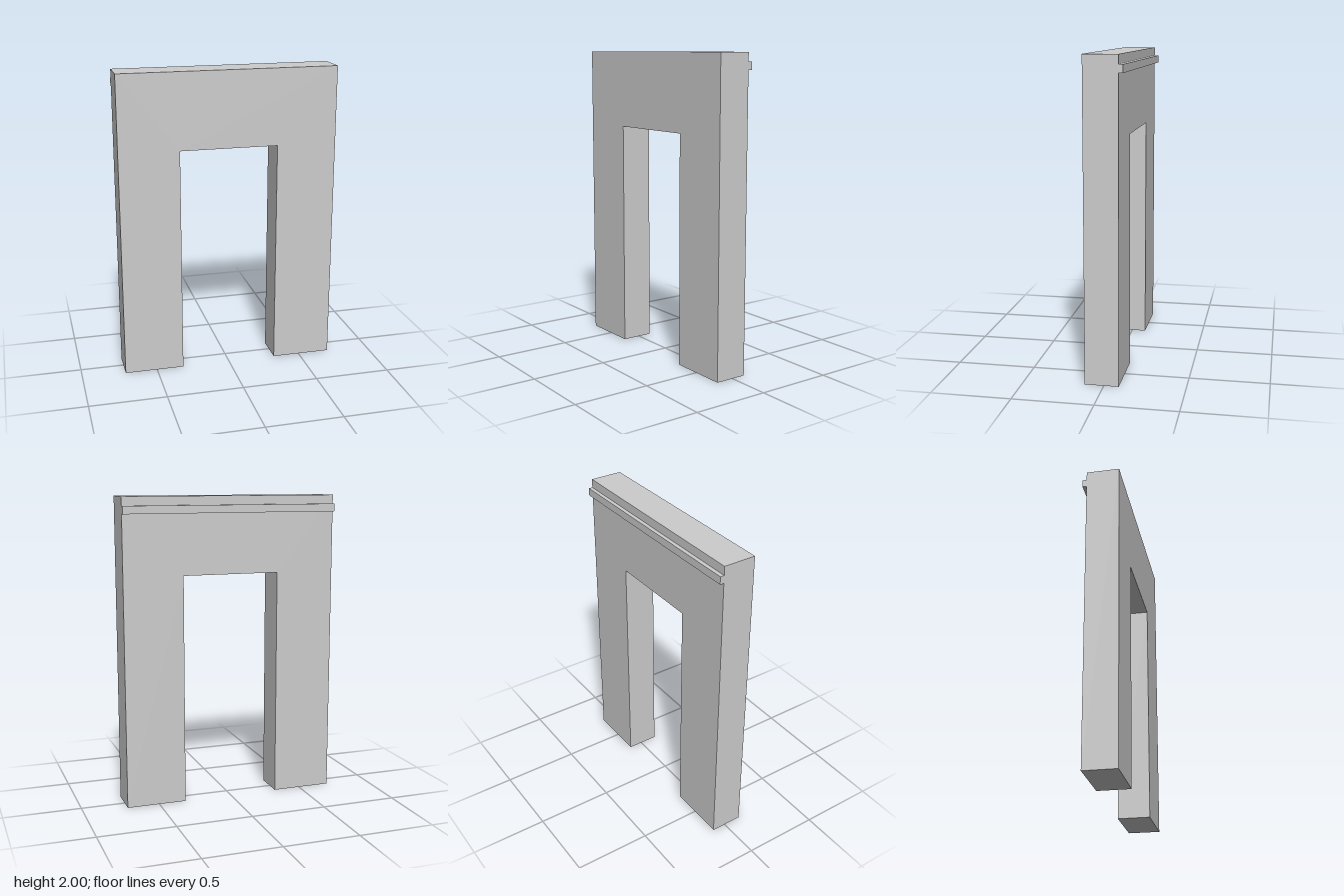
import * as THREE from 'three';

const WIDTH = 1.425, HEIGHT = 2;
const OPENING_WIDTH = 0.64, OPENING_HEIGHT = 1.5;
const FRONT = 0.119, BACK = -0.093, TRIM_BACK = -0.119;

export function createModel() {
  const group = new THREE.Group();
  group.name = 'doorwayWall';

  const plaster = new THREE.MeshStandardMaterial({ color: 0xcccccc });
  plaster.name = 'light grey plaster';

  // Wall outline with a doorway open to the floor
  const w = WIDTH / 2, o = OPENING_WIDTH / 2;
  const outline = new THREE.Shape([
    [-w, 0], [-o, 0], [-o, OPENING_HEIGHT], [o, OPENING_HEIGHT],
    [o, 0], [w, 0], [w, HEIGHT], [-w, HEIGHT],
  ].map(([x, y]) => new THREE.Vector2(x, y)));
  const wall = new THREE.Mesh(
    new THREE.ExtrudeGeometry(outline, { depth: FRONT - BACK, bevelEnabled: false }),
    plaster,
  );
  wall.name = 'wall';
  wall.position.z = BACK;
  group.add(wall);

  // Narrow ledge along the top of the back face
  const ledge = new THREE.Mesh(
    new THREE.BoxGeometry(WIDTH, 0.05, BACK - TRIM_BACK),
    plaster,
  );
  ledge.name = 'backLedge';
  ledge.position.set(0, 1.918, (BACK + TRIM_BACK) / 2);
  group.add(ledge);

  return group;
}
